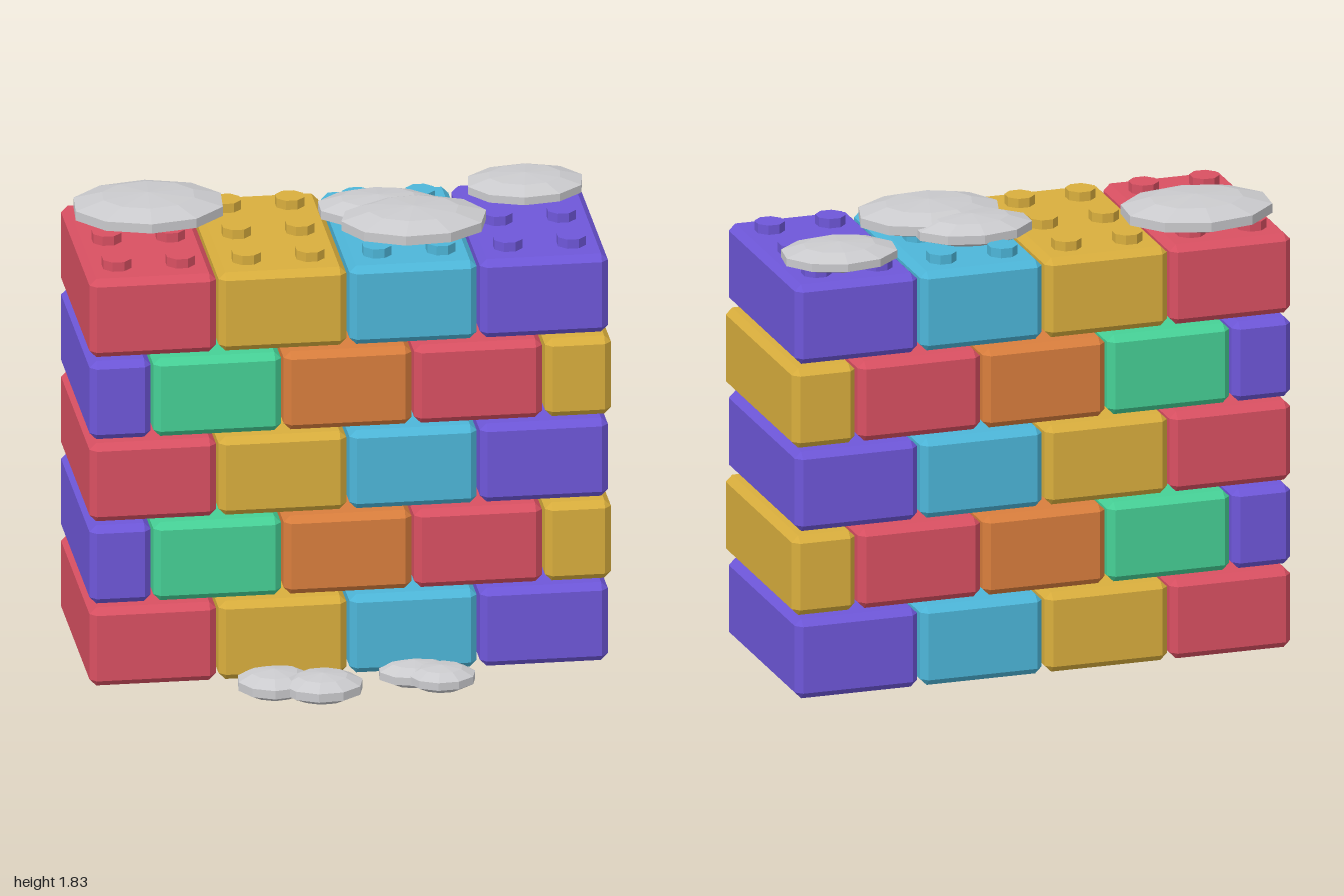
import * as THREE from 'three';
import { ConvexGeometry } from 'three/addons/geometries/ConvexGeometry.js';

const mat = (name, color) => {
  const m = new THREE.MeshStandardMaterial({ color });
  m.name = name;
  return m;
};

// Box with one flat chamfer along every edge and corner
function chamferBox(w, h, d, c) {
  const pts = [];
  for (const sx of [-1, 1]) for (const sy of [-1, 1]) for (const sz of [-1, 1]) {
    const x = w / 2, y = h / 2, z = d / 2;
    pts.push(new THREE.Vector3(sx * x, sy * (y - c), sz * (z - c)));
    pts.push(new THREE.Vector3(sx * (x - c), sy * y, sz * (z - c)));
    pts.push(new THREE.Vector3(sx * (x - c), sy * (y - c), sz * z));
  }
  return new ConvexGeometry(pts);
}

export function createModel() {
  const model = new THREE.Group();
  model.name = 'brickWall';

  const red = mat('red', 0xd95062);
  const gold = mat('gold', 0xd9ae3d);
  const cyan = mat('cyan', 0x4db6d9);
  const purple = mat('purple', 0x6e57d9);
  const green = mat('green', 0x46d096);
  const orange = mat('orange', 0xd97e3d);
  const stone = mat('stone grey', 0xcacacd);

  const H = 0.318, D = 0.83, Z = -0.125, C = 0.026;
  const BOTTOM = 0.052, PITCH = 0.3345;

  // Alternating courses: four full bricks, or three full with half ends
  const fullRow = [[-1, -0.515, red], [-0.505, -0.015, gold], [-0.003, 0.485, cyan], [0.497, 0.988, purple]];
  const offsetRow = [[-1, -0.765, purple], [-0.755, -0.265, green], [-0.255, 0.235, orange],
    [0.245, 0.735, red], [0.747, 1, gold]];

  for (let r = 0; r < 5; r++) {
    const course = new THREE.Group();
    course.name = `course${r + 1}`;
    course.position.set(0, BOTTOM + r * PITCH + H / 2, Z);
    for (const [x0, x1, m] of r % 2 ? offsetRow : fullRow) {
      const brick = new THREE.Mesh(chamferBox(x1 - x0, H, D, C), m);
      brick.name = 'brick';
      brick.position.x = (x0 + x1) / 2;
      course.add(brick);
    }
    model.add(course);
  }

  // Octagonal studs on the top course
  const studGeo = new THREE.CylinderGeometry(0.058, 0.058, 0.06, 8).toNonIndexed();
  studGeo.rotateY(Math.PI / 8);
  studGeo.computeVertexNormals();
  for (const [x0, x1, m] of fullRow) {
    for (const dx of [-0.122, 0.122]) for (const z of [0.145, -0.13, -0.407]) {
      const stud = new THREE.Mesh(studGeo, m);
      stud.name = 'stud';
      stud.position.set((x0 + x1) / 2 + dx, 1.715, z);
      model.add(stud);
    }
  }

  // Flattened ten-sided stones: x, y, z, half extents, spin
  const stones = [
    ['topStone', -0.695, 1.769, -0.305, 0.295, 0.06, 0.235, 0.25],
    ['topStone', 0.285, 1.767, -0.03, 0.282, 0.06, 0.22, 0.1],
    ['topStone', 0.172, 1.757, -0.205, 0.235, 0.055, 0.165, 0.3],
    ['topStone', 0.757, 1.761, -0.36, 0.228, 0.05, 0.18, 0.2],
    ['groundStone', -0.3, 0.057, 0.335, 0.145, 0.055, 0.14, 0.2],
    ['groundStone', -0.125, 0.06, 0.41, 0.155, 0.055, 0.132, 0.1],
    ['groundStone', 0.24, 0.058, 0.305, 0.14, 0.05, 0.11, 0.25],
    ['groundStone', 0.335, 0.062, 0.382, 0.13, 0.05, 0.108, 0.1],
  ];
  for (const [name, x, y, z, rx, ry, rz, spin] of stones) {
    let geo = new THREE.SphereGeometry(1, 10, 5);
    geo.rotateY(spin);
    geo.scale(rx / 0.95, ry, rz / 0.95);
    geo = geo.toNonIndexed();
    geo.computeVertexNormals();
    const mesh = new THREE.Mesh(geo, stone);
    mesh.name = name;
    mesh.position.set(x, y, z);
    model.add(mesh);
  }
  return model;
}
